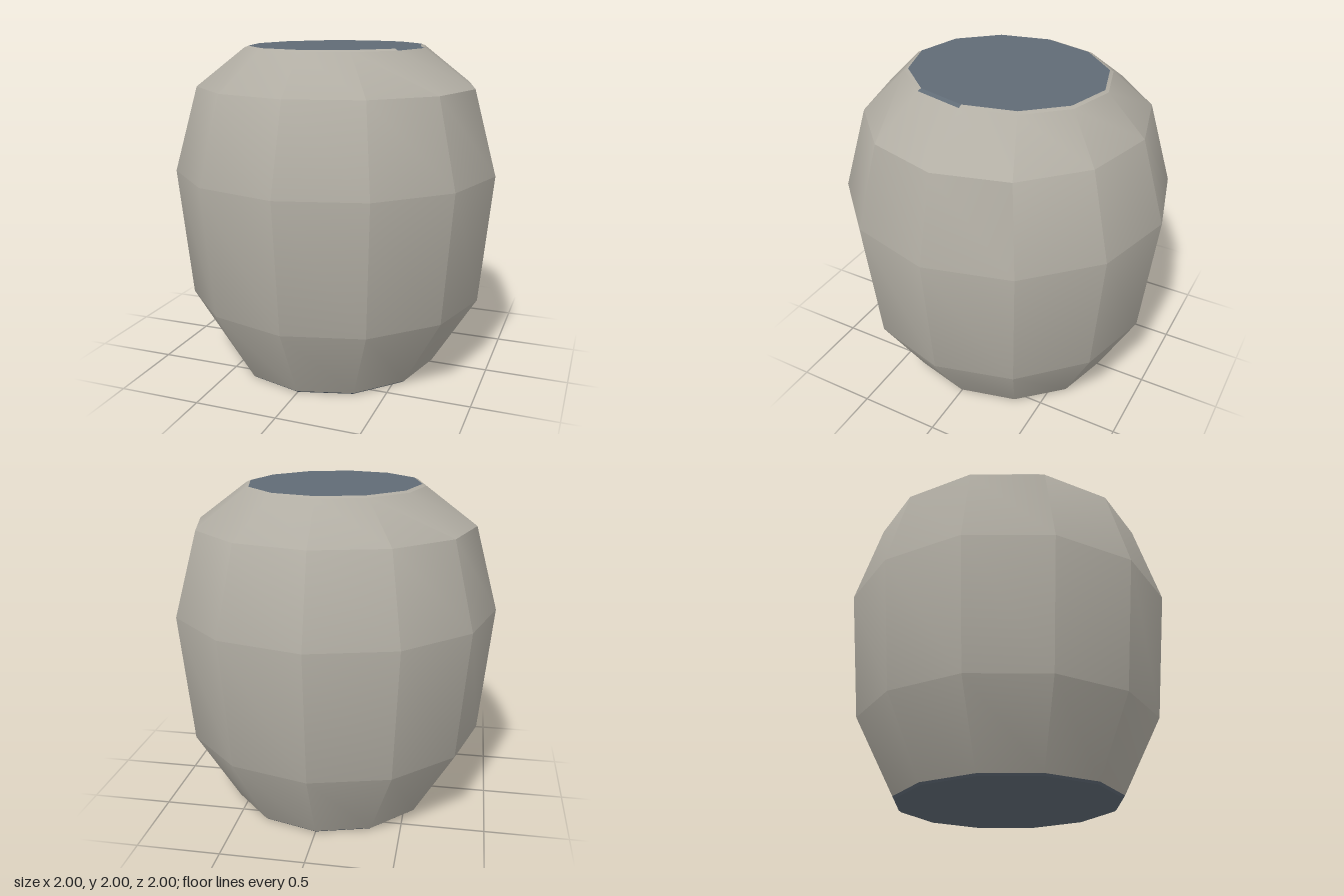
import * as THREE from 'three';
import { toCreasedNormals } from 'three/addons/utils/BufferGeometryUtils.js';

const SIDES = 12;
const STEP = (Math.PI * 2) / SIDES;
const ODD = 2; // the side whose rim colours are swapped

// Barrel rings from the ground up: [height, half width in x, half depth in z]
const RINGS = [
  [0, 0.635, 0.675],
  [0.012, 0.65, 0.69],
  [0.46, 0.925, 0.92],
  [1.25, 1, 1],
  [1.76, 0.86, 0.845],
  [1.99, 0.55, 0.615],
  [2, 0.525, 0.595],
];
const TOP = RINGS.length - 1;

// Lathes a run of rings, then squeezes each ring to its own oval
function band(points, first = 0, count = SIDES) {
  const geometry = new THREE.LatheGeometry(points, count, first * STEP, count * STEP);
  const pos = geometry.attributes.position;
  for (let i = 0; i < pos.count; i++) {
    const y = pos.getY(i);
    const ring = RINGS.find((r) => Math.abs(r[0] - y) < 1e-4);
    pos.setX(i, (pos.getX(i) * ring[1]) / ring[2]);
  }
  return toCreasedNormals(geometry, THREE.MathUtils.degToRad(35));
}

export function createModel() {
  const group = new THREE.Group();
  group.name = 'barrel';
  const shell = new THREE.MeshStandardMaterial({ color: 0xb2aea4 });
  const slate = new THREE.MeshStandardMaterial({ color: 0x606b76 });
  shell.name = 'warm grey';
  slate.name = 'slate grey';

  const add = (name, material, points, first, count) => {
    const mesh = new THREE.Mesh(band(points, first, count), material);
    mesh.name = name;
    group.add(mesh);
  };
  const rings = (a, b) => RINGS.slice(a, b + 1).map(([y, , z]) => new THREE.Vector2(z, y));

  // Bulging twelve-sided wall
  add('wall', shell, rings(1, TOP - 1));

  // Narrow bevelled rims, with one odd side each
  add('topRim', shell, rings(TOP - 1, TOP), ODD + 1, SIDES - 1);
  add('topRimOddSide', slate, rings(TOP - 1, TOP), ODD, 1);
  add('bottomRim', slate, rings(0, 1), ODD + 1, SIDES - 1);
  add('bottomRimOddSide', shell, rings(0, 1), ODD, 1);

  // Flat end caps
  add('topCap', slate, [...rings(TOP, TOP), new THREE.Vector2(0, 2)]);
  add('bottomCap', slate, [new THREE.Vector2(0, 0), ...rings(0, 0)]);

  return group;
}
